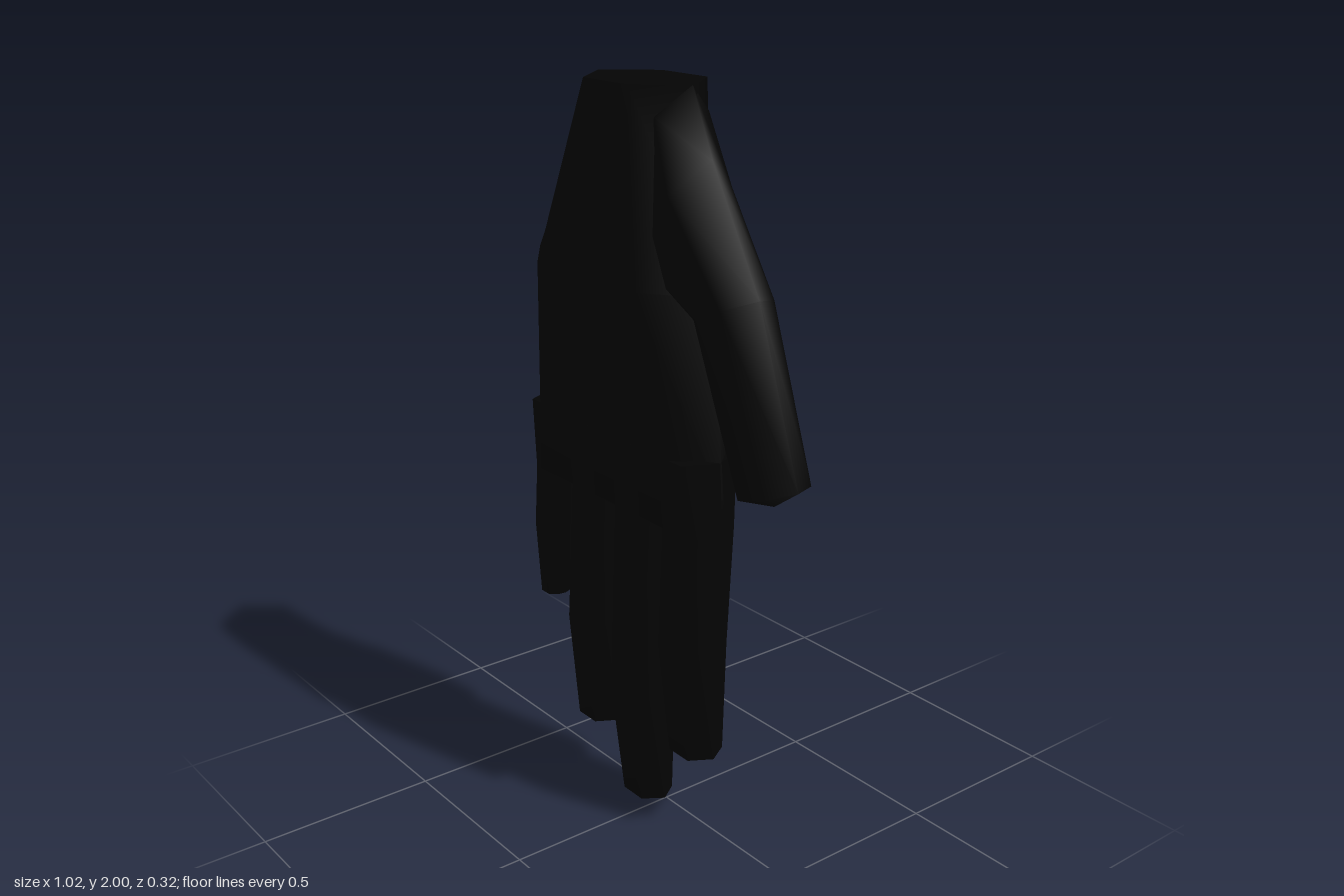
import * as THREE from 'three';

const skin = new THREE.MeshStandardMaterial({ color: 0x040404 });

// Six-sided loft running downwards. Each ring: [ax, ay, bx, by, back z, front z, inset],
// where a and b are the side corners and inset places the front and back corners between them.
function loft(name, rings, tipDrop = 0) {
  const pos = [], index = [];
  for (const [ax, ay, bx, by, z0, z1, inset = 0.24] of rings) {
    const mid = (z0 + z1) / 2;
    const corners = [[0, mid], [inset, z1], [1 - inset, z1], [1, mid], [1 - inset, z0], [inset, z0]];
    for (const [t, z] of corners) pos.push(ax + (bx - ax) * t, ay + (by - ay) * t, z);
  }
  for (let i = 0; i < rings.length - 1; i++) {
    for (let j = 0; j < 6; j++) {
      const a = i * 6 + j, b = i * 6 + (j + 1) % 6;
      index.push(a, a + 6, b + 6, a, b + 6, b);
    }
  }
  // End caps: flat at the top with its own vertices, slightly pointed at the tip
  const centre = (r, drop) => pos.push((r[0] + r[2]) / 2, (r[1] + r[3]) / 2 - drop, (r[4] + r[5]) / 2);
  const top = pos.length / 3;
  pos.push(...pos.slice(0, 18));
  centre(rings[0], 0);
  const end = (rings.length - 1) * 6, tip = pos.length / 3;
  centre(rings[rings.length - 1], tipDrop);
  for (let j = 0; j < 6; j++) {
    const k = (j + 1) % 6;
    index.push(top + 6, top + j, top + k, tip, end + k, end + j);
  }
  const geometry = new THREE.BufferGeometry();
  geometry.setAttribute('position', new THREE.Float32BufferAttribute(pos, 3));
  geometry.setIndex(index);
  geometry.computeVertexNormals();
  const mesh = new THREE.Mesh(geometry, skin);
  mesh.name = name;
  return mesh;
}

// Hanging finger; each section: [y, left x, right x, back z, front z]
const finger = (name, sections) =>
  loft(name, sections.map(([y, x0, x1, z0, z1]) => [x0, y, x1, y, z0, z1]), 0.02);

export function createModel() {
  const hand = new THREE.Group();
  hand.name = 'hand';

  // Wrist, back of the hand and knuckles
  hand.add(loft('palm', [
    [-0.33, 2, 0.07, 2, -0.16, 0.09, 0.27],
    [-0.51, 1.52, 0.24, 1.52, -0.08, 0.16, 0.22],
    [-0.505, 1.0, 0.26, 1.0, -0.06, 0.11, 0.1],
    [-0.5, 0.9, 0.255, 0.9, -0.05, 0.105, 0.08],
  ]));

  // Thumb, leaving the wrist at an angle
  hand.add(loft('thumb', [
    [-0.1, 1.7, 0.07, 2.0, -0.11, 0.06],
    [0.0, 1.5, 0.19, 1.84, -0.09, 0.11],
    [0.2, 1.46, 0.385, 1.54, -0.06, 0.11],
    [0.34, 1.04, 0.51, 1.09, -0.08, 0.08],
  ], 0.035));

  hand.add(finger('littleFinger', [
    [1.1, -0.505, -0.34, -0.055, 0.11],
    [0.9, -0.505, -0.35, -0.05, 0.1],
    [0.72, -0.515, -0.385, -0.04, 0.1],
    [0.495, -0.51, -0.435, -0.01, 0.08],
  ]));
  hand.add(finger('ringFinger', [
    [1.1, -0.32, -0.14, -0.06, 0.12],
    [0.9, -0.32, -0.14, -0.05, 0.11],
    [0.5, -0.34, -0.153, -0.03, 0.12],
    [0.18, -0.33, -0.183, -0.03, 0.09],
  ]));
  hand.add(finger('middleFinger', [
    [1.1, -0.125, 0.06, -0.06, 0.12],
    [0.9, -0.125, 0.06, -0.05, 0.11],
    [0.35, -0.14, 0.045, -0.03, 0.12],
    [0.02, -0.13, 0.025, -0.03, 0.08],
  ]));
  hand.add(finger('indexFinger', [
    [1.1, 0.08, 0.255, -0.06, 0.12],
    [0.9, 0.08, 0.262, -0.05, 0.11],
    [0.57, 0.072, 0.265, -0.03, 0.12],
    [0.25, 0.092, 0.243, -0.03, 0.09],
  ]));

  return hand;
}
